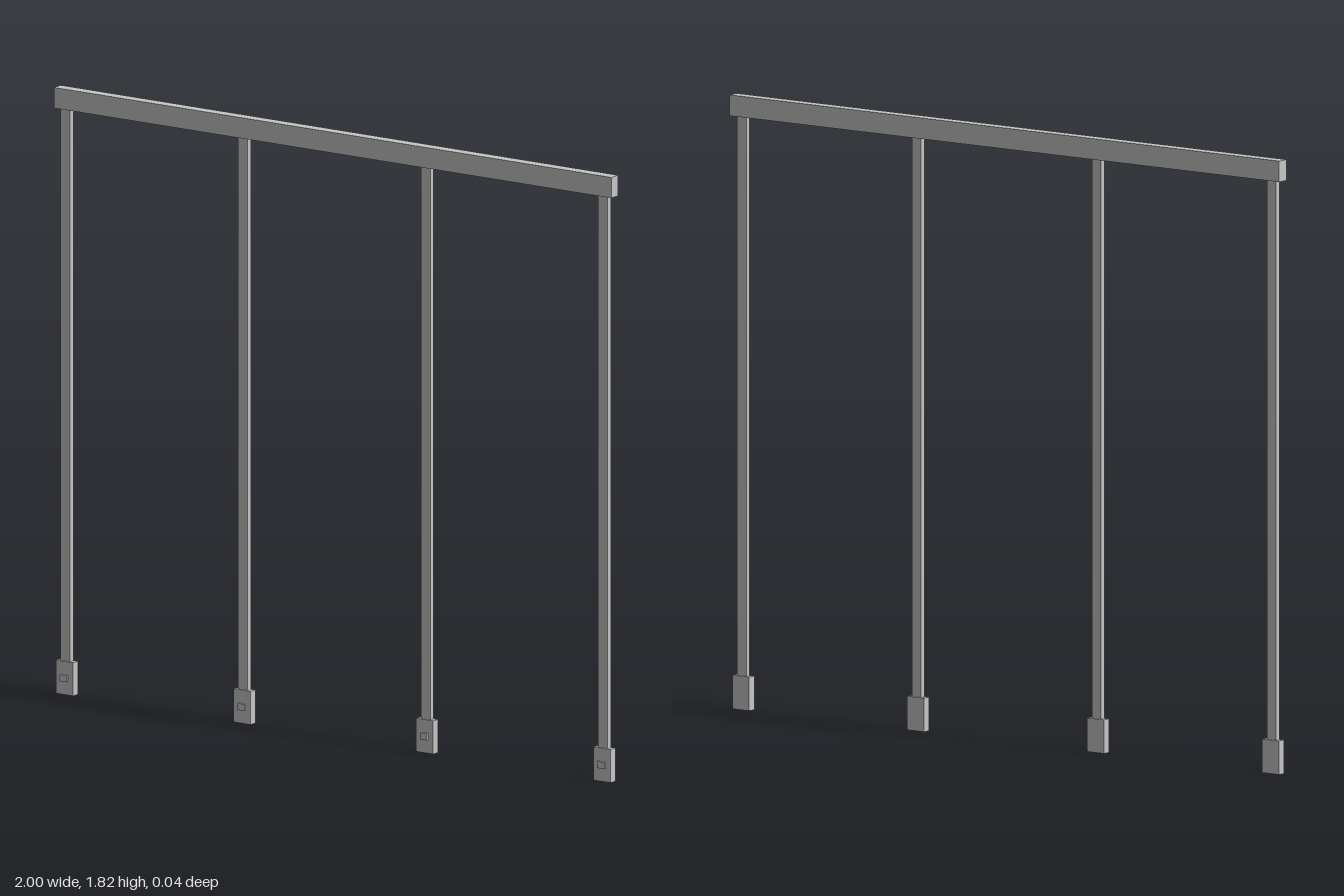
import * as THREE from 'three';

const grey = new THREE.MeshStandardMaterial({ color: 0xc6c6c6 });
grey.name = 'light metal grey';

function box(name, w, h, d, x, y, z) {
  const mesh = new THREE.Mesh(new THREE.BoxGeometry(w, h, d), grey);
  mesh.name = name;
  mesh.position.set(x, y, z);
  return mesh;
}

export function createModel() {
  const model = new THREE.Group();
  model.name = 'hangingRail';

  // Top beam
  model.add(box('topBeam', 2, 0.062, 0.035, 0, 1.788, 0));

  // Four flat posts, each with a foot block and a small front catch
  for (const x of [-0.965, -0.328, 0.327, 0.963]) {
    const unit = new THREE.Group();
    unit.name = 'post';
    unit.position.x = x;
    unit.add(box('postBar', 0.034, 1.657, 0.016, 0, 0.9285, 0));
    unit.add(box('footBlock', 0.061, 0.1, 0.025, 0, 0.05, 0));
    unit.add(box('frontCatch', 0.026, 0.02, 0.006, 0, 0.05, 0.0155));
    model.add(unit);
  }
  return model;
}
